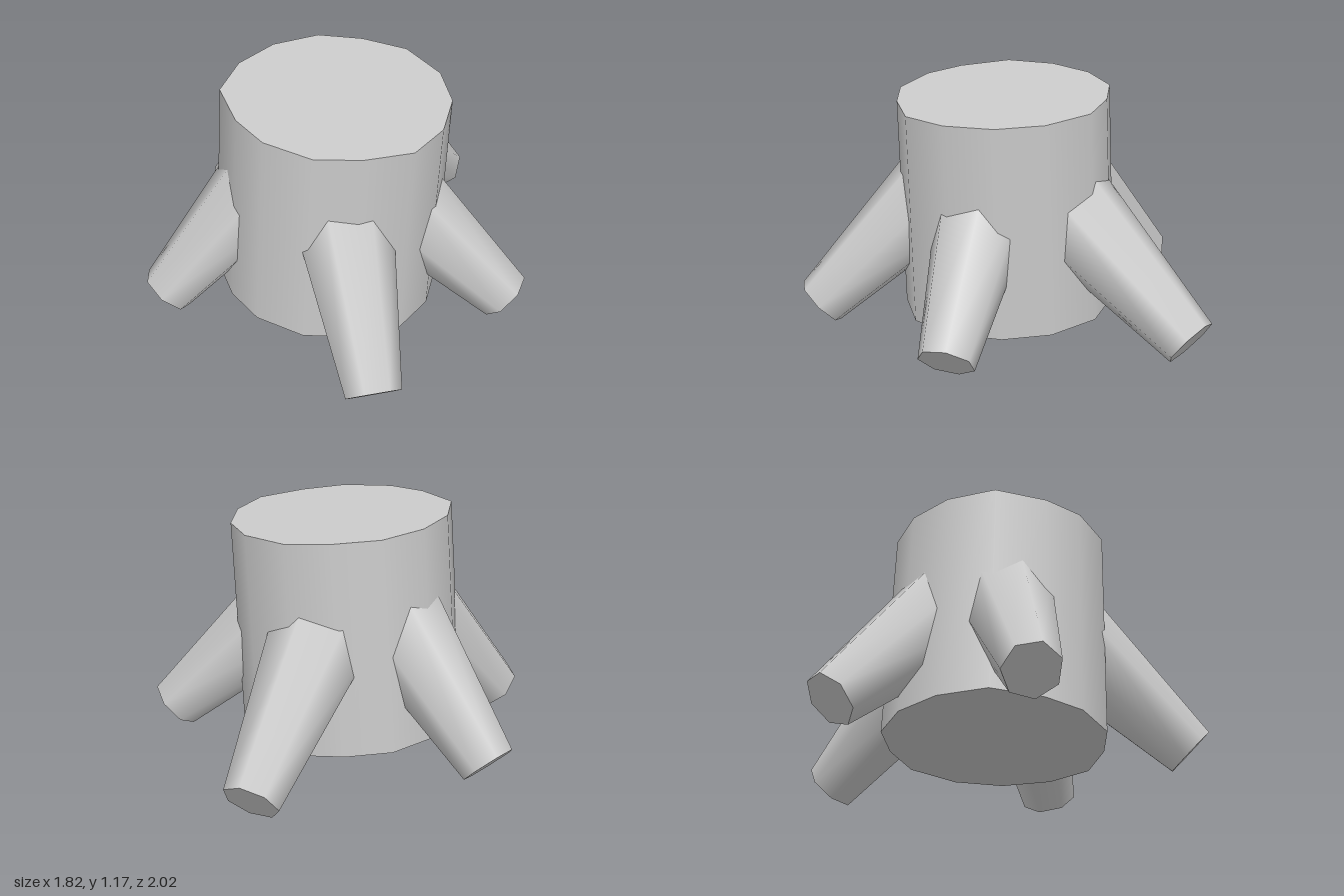
import * as THREE from 'three';

const up = new THREE.Vector3(0, 1, 0);

// Turns and places a cylinder so that it runs from one point to another
function span(mesh, from, to) {
  mesh.position.copy(from).add(to).multiplyScalar(0.5);
  mesh.quaternion.setFromUnitVectors(up, to.clone().sub(from).normalize());
  return mesh;
}

export function createModel() {
  const stump = new THREE.Group();
  stump.name = 'stump';
  const grey = new THREE.MeshStandardMaterial({ color: 0xcccccc });
  grey.name = 'grey';

  // Trunk: a leaning, slightly irregular 14-sided cylinder, a little wider at the foot
  const outline = [
    [0.02, 0.51], [0.23, 0.45], [0.435, 0.33], [0.525, 0.12], [0.525, -0.12],
    [0.43, -0.33], [0.235, -0.49], [0.01, -0.515], [-0.205, -0.48], [-0.39, -0.33],
    [-0.5, -0.12], [-0.52, 0.12], [-0.38, 0.33], [-0.22, 0.455],
  ];
  const foot = new THREE.Vector3(-0.09, 0.108, 0.066);
  const head = new THREE.Vector3(-0.03, 1.147, 0.08);
  const trunkGeo = new THREE.CylinderGeometry(1, 1, foot.distanceTo(head), 14);
  const p = trunkGeo.attributes.position;
  for (let i = 0; i < p.count; i++) {
    if (Math.hypot(p.getX(i), p.getZ(i)) < 0.5) continue; // cap centres
    const angle = Math.atan2(p.getX(i), p.getZ(i));
    const [x, z] = outline[(Math.round(angle / (Math.PI / 7)) + 14) % 14];
    const flare = p.getY(i) < 0 ? 1.028 : 1;
    p.setX(i, x * flare);
    p.setZ(i, z * flare);
  }
  const trunk = span(new THREE.Mesh(trunkGeo, grey), foot, head);
  trunk.name = 'trunk';
  stump.add(trunk);

  // Roots: seven-sided tapers; tip centre, compass angle from +x towards +z, and pitch
  const roots = [
    ['frontRoot', [0.335, 0.11, 0.905], 63.5, 43],
    ['leftRoot', [0.82, 0.115, 0.09], 0, 43],
    ['backRoot', [0.31, 0.115, -0.925], -69, 36],
    ['backRightRoot', [-0.745, 0.115, -0.495], -141, 45],
    ['frontRightRoot', [-0.805, 0.11, 0.43], 152, 48],
  ];
  const length = 0.9;
  const rootGeo = new THREE.CylinderGeometry(0.25, 0.135, length, 7);
  for (const [name, at, heading, pitch] of roots) {
    const a = THREE.MathUtils.degToRad(heading);
    const b = THREE.MathUtils.degToRad(pitch);
    const tip = new THREE.Vector3(...at);
    const inner = new THREE.Vector3(-Math.cos(a) * Math.cos(b), Math.sin(b), -Math.sin(a) * Math.cos(b))
      .multiplyScalar(length).add(tip);
    const root = span(new THREE.Mesh(rootGeo, grey), tip, inner);
    root.name = name;
    stump.add(root);
  }
  return stump;
}
